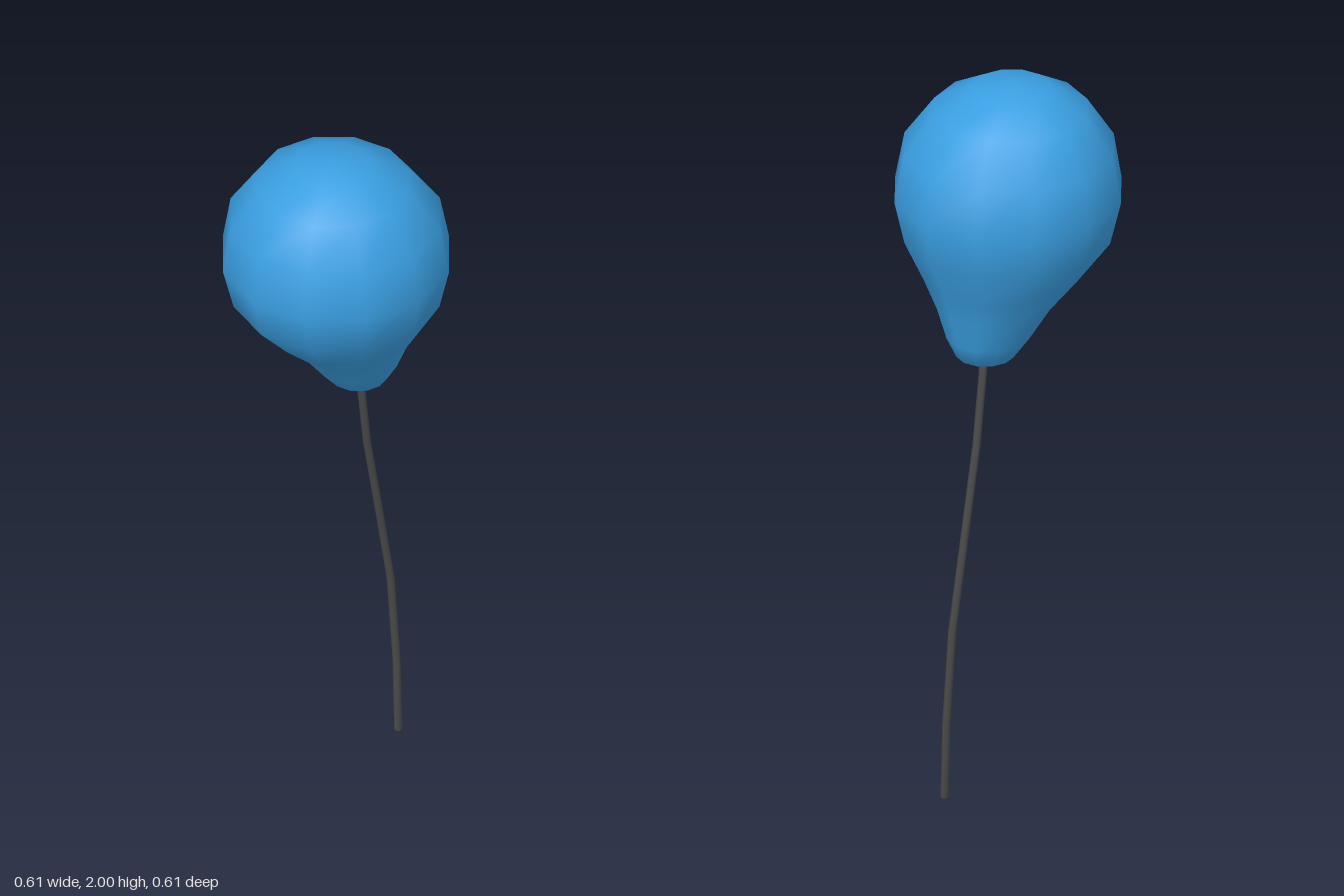
import * as THREE from 'three';
import { mergeVertices } from 'three/addons/utils/BufferGeometryUtils.js';

// Skin over horizontal rings [x, y, z, radius], listed from bottom to top
function loft(rings, sides, turn) {
  const pos = [], index = [];
  for (const [x, y, z, r] of rings) {
    for (let j = 0; j < sides; j++) {
      const a = turn + (j / sides) * Math.PI * 2;
      pos.push(x + r * Math.cos(a), y, z + r * Math.sin(a));
    }
  }
  for (let i = 0; i < rings.length - 1; i++) {
    for (let j = 0; j < sides; j++) {
      const k = (j + 1) % sides;
      const a = i * sides + j, b = i * sides + k, c = a + sides, d = b + sides;
      if (rings[i][3] > 0) index.push(a, c, b);
      if (rings[i + 1][3] > 0) index.push(b, c, d);
    }
  }
  let geo = new THREE.BufferGeometry();
  geo.setAttribute('position', new THREE.Float32BufferAttribute(pos, 3));
  geo.setIndex(index);
  geo = mergeVertices(geo); // join the pole points so shading stays smooth
  geo.computeVertexNormals();
  return geo;
}

export function createModel() {
  const group = new THREE.Group();
  const blue = new THREE.MeshStandardMaterial({ color: 0x3a9fe2 });
  blue.name = 'balloon blue';
  const grey = new THREE.MeshStandardMaterial({ color: 0x4a4a4a });
  grey.name = 'string grey';

  // Balloon: round top, with the neck leaning towards +x
  const balloon = new THREE.Mesh(loft([
    [0.108, 1.213, 0, 0],
    [0.095, 1.245, 0, 0.078],
    [0.083, 1.30, 0, 0.113],
    [0.06, 1.38, 0, 0.153],
    [0.03, 1.46, 0, 0.208],
    [0.002, 1.57, 0, 0.28],
    [0, 1.69, 0, 0.308],
    [-0.003, 1.82, 0, 0.285],
    [-0.01, 1.93, 0, 0.208],
    [-0.015, 1.988, 0, 0.105],
    [-0.018, 2.0, 0, 0],
  ], 12, 0.113), blue);
  balloon.name = 'balloon';
  group.add(balloon);

  // String: thin hanging cord with closed ends
  const r = 0.011;
  const string = new THREE.Mesh(loft([
    [0.258, 0, 0.004, 0],
    [0.258, 0, 0.004, r],
    [0.261, 0.22, -0.004, r],
    [0.246, 0.49, -0.012, r],
    [0.203, 0.72, -0.014, r],
    [0.14, 1.0, -0.008, r],
    [0.112, 1.2, -0.006, r],
    [0.11, 1.235, -0.005, r],
    [0.11, 1.235, -0.005, 0],
  ], 6, 0), grey);
  string.name = 'string';
  group.add(string);

  return group;
}
